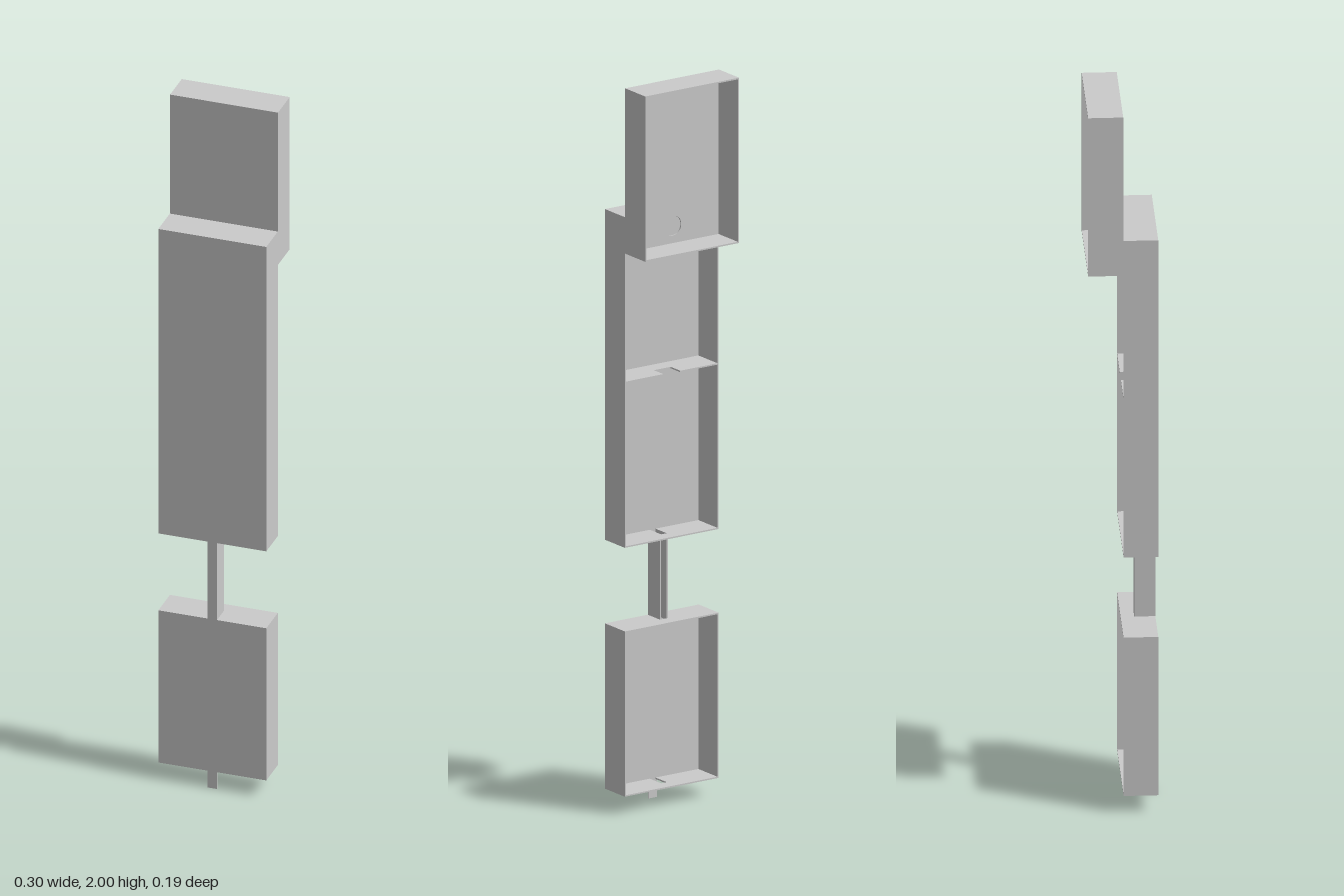
import * as THREE from 'three';

const T = 0.004;        // wall thickness
const W = 0.151;        // half width of the trays
const F = 0.0925;       // outer depth of a tray
const C = 0.013;        // half width of the channel
const CZ = 0.037;       // back edge of the channel

const material = new THREE.MeshStandardMaterial({ color: 0xcccccc, flatShading: true });

function add(group, name, geometry) {
  const mesh = new THREE.Mesh(geometry, material);
  mesh.name = name;
  group.add(mesh);
}

// Box given by its limits on each axis
function box(x0, x1, y0, y1, z0, z1) {
  return new THREE.BoxGeometry(x1 - x0, y1 - y0, z1 - z0)
    .translate((x0 + x1) / 2, (y0 + y1) / 2, (z0 + z1) / 2);
}

function outline(points) {
  return points.map(([x, y]) => new THREE.Vector2(x, y));
}

// Horizontal wall with its top at y, optionally with a slot or a back notch
function shelf(y, z0, z1, cut) {
  const w = W - T;
  const back = cut === 'notch'
    ? [[-w, z0], [-0.027, z0], [-0.027, 0.045], [0.027, 0.045], [0.027, z0], [w, z0]]
    : [[-w, z0], [w, z0]];
  const shape = new THREE.Shape(outline([...back, [w, z1], [-w, z1]]));
  if (cut === 'slot') {
    const c = C - T;
    shape.holes.push(new THREE.Path(outline([[-c, CZ], [-c, F - T], [c, F - T], [c, CZ]])));
  }
  return new THREE.ExtrudeGeometry(shape, { depth: T, bevelEnabled: false })
    .rotateX(Math.PI / 2).translate(0, y, 0);
}

// Front wall of a tray, with an optional round hole
function frontPanel(y0, y1, z1, hole) {
  const shape = new THREE.Shape(outline([[-W, y0], [W, y0], [W, y1], [-W, y1]]));
  if (hole) shape.holes.push(new THREE.Path().absarc(0, hole, 0.027, 0, Math.PI * 2, true));
  return new THREE.ExtrudeGeometry(shape, { depth: T, bevelEnabled: false, curveSegments: 24 })
    .translate(0, 0, z1 - T);
}

// Shallow tray, open at the back
function tray(name, y0, y1, z0, z1, { top, bottom, hole } = {}) {
  const group = new THREE.Group();
  group.name = name;
  add(group, 'frontPanel', frontPanel(y0, y1, z1, hole));
  add(group, 'rightWall', box(-W, -W + T, y0, y1, z0, z1 - T));
  add(group, 'leftWall', box(W - T, W, y0, y1, z0, z1 - T));
  add(group, 'topWall', shelf(y1, z0, z1 - T, top));
  add(group, 'bottomWall', shelf(y0 + T, z0, z1 - T, bottom));
  return group;
}

export function createModel() {
  const model = new THREE.Group();
  model.name = 'steppedTrays';

  // Three trays, the top one set back behind the middle one
  const upper = tray('upperTray', 1.545, 2, -F, 0, { hole: 1.597 });
  const middle = tray('middleTray', 0.735, 1.645, 0.001, F, { bottom: 'slot' });
  const lower = tray('lowerTray', 0.05, 0.505, 0.001, F, { top: 'slot', bottom: 'slot' });
  add(middle, 'divider', shelf(1.192, 0.001, F - T, 'notch'));

  // U-shaped channel joining the lower trays
  const channel = new THREE.Group();
  channel.name = 'channel';
  add(channel, 'channelFront', box(-C, C, 0.505, 0.735, F - T, F));
  for (const [name, s] of [['channelRight', -1], ['channelLeft', 1]]) {
    const x = s * (C - T / 2);
    add(channel, name, box(x - T / 2, x + T / 2, 0.505, 0.735, CZ, F - T));
  }

  model.add(upper, middle, lower, channel);

  // Tab hanging below the lowest tray
  add(model, 'bottomTab', box(-C, C, 0, 0.05, F - T, F));
  return model;
}
